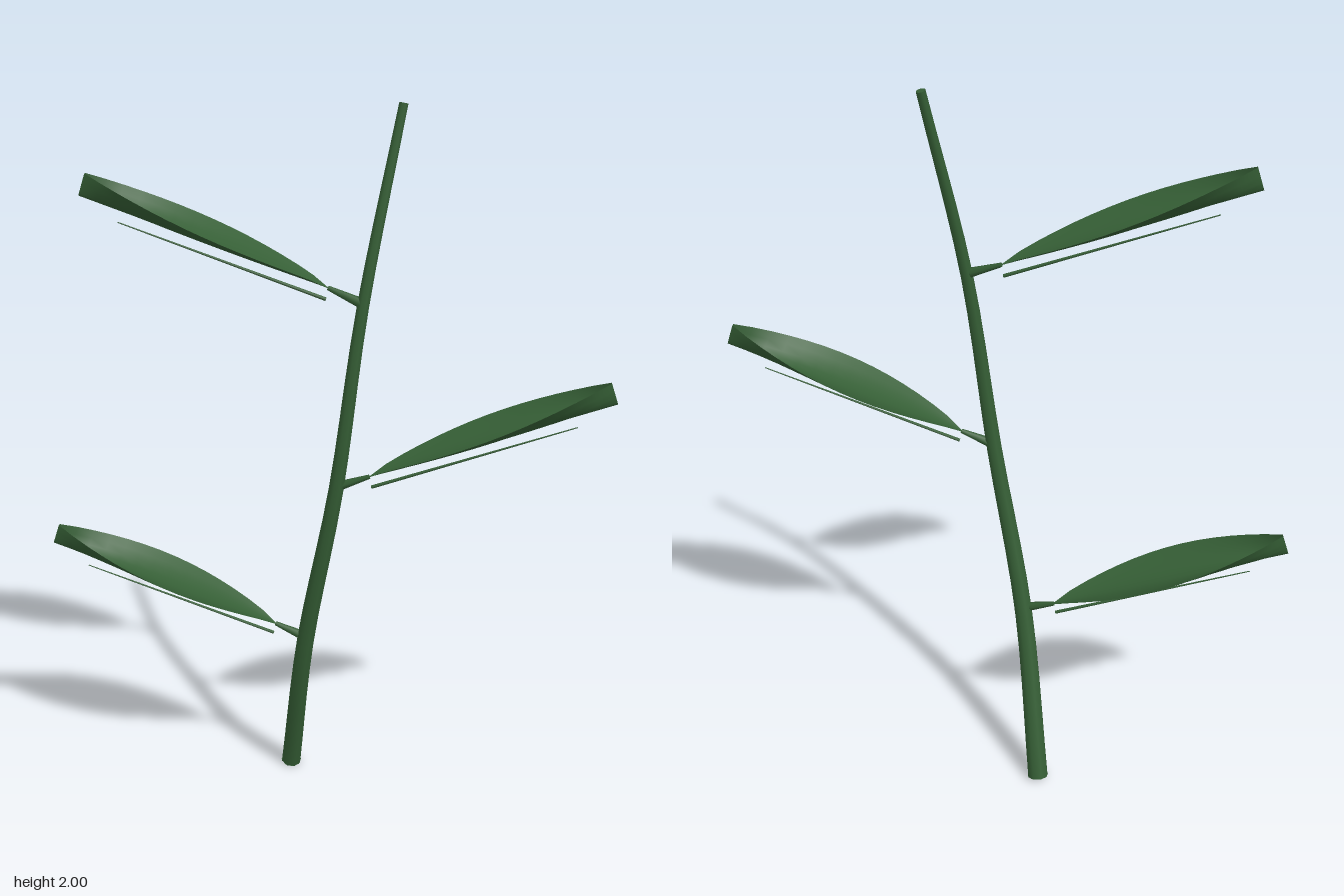
import * as THREE from 'three';
import { mergeGeometries } from 'three/addons/utils/BufferGeometryUtils.js';

const V = (x, y, z) => new THREE.Vector3(x, y, z);

// Tube along a curve whose radius shrinks from r0 to r1, with closed ends
function taperedTube(curve, r0, r1, segments, sides) {
  const tube = new THREE.TubeGeometry(curve, segments, 1, sides);
  const pos = tube.attributes.position;
  const p = V(0, 0, 0);
  for (let i = 0; i < pos.count; i++) {
    const t = Math.floor(i / (sides + 1)) / segments;
    const centre = curve.getPointAt(t);
    p.fromBufferAttribute(pos, i).sub(centre).multiplyScalar(r0 + (r1 - r0) * t).add(centre);
    pos.setXYZ(i, p.x, p.y, p.z);
  }
  const caps = [[0, -1, r0], [1, 1, r1]].map(([t, sign, r]) => {
    const dir = curve.getTangentAt(t).multiplyScalar(sign);
    const cap = new THREE.CircleGeometry(r, sides);
    cap.applyQuaternion(new THREE.Quaternion().setFromUnitVectors(V(0, 0, 1), dir));
    const c = curve.getPointAt(t);
    return cap.translate(c.x, c.y, c.z);
  });
  return mergeGeometries([tube, ...caps]);
}

// Blade along +z: pointed outline, with edges folding up more towards the tip
function bladeGeometry(length) {
  const g = new THREE.PlaneGeometry(2, 1, 8, 14).rotateX(-Math.PI / 2);
  const pos = g.attributes.position;
  for (let i = 0; i < pos.count; i++) {
    const u = pos.getX(i);
    const t = THREE.MathUtils.clamp(pos.getZ(i) + 0.5, 0, 1);
    const half = 0.004 + 0.098 * Math.pow(Math.max(0, Math.sin(Math.PI * t)), 0.88);
    const fold = 0.06 * Math.pow(t, 0.65) * Math.pow(Math.abs(u), 1.6);
    pos.setXYZ(i, u * half, fold, t * length);
  }
  g.computeVertexNormals();
  return g;
}

export function createModel() {
  const root = new THREE.Group();
  root.name = 'leafySprig';
  const green = new THREE.MeshStandardMaterial({ color: 0x355e35, side: THREE.DoubleSide });
  green.name = 'leafGreen';

  const add = (parent, name, geometry) => {
    const mesh = new THREE.Mesh(geometry, green);
    mesh.name = name;
    parent.add(mesh);
  };

  // Bowed, tapering stem
  const stemCurve = new THREE.CatmullRomCurve3([
    V(-0.156, 0.008, -0.12), V(-0.055, 0.5, -0.015), V(0.055, 1, 0.02),
    V(0.113, 1.5, -0.012), V(0.17, 1.998, -0.12),
  ]);
  add(root, 'stem', taperedTube(stemCurve, 0.03, 0.012, 20, 8));

  // Leaves: joint on the stem, base of the blade, tip of the blade
  const leaves = [
    ['lowerLeaf', V(-0.055, 0.515, -0.01), V(-0.14, 0.545, 0.005), V(-0.738, 0.77, 0.214)],
    ['middleLeaf', V(0.06, 1.01, 0.018), V(0.14, 1.042, -0.008), V(0.738, 1.267, -0.218)],
    ['upperLeaf', V(0.113, 1.51, -0.012), V(0.022, 1.545, 0.002), V(-0.576, 1.768, 0.214)],
  ];
  for (const [name, joint, base, tip] of leaves) {
    add(root, name + 'Stalk', taperedTube(new THREE.LineCurve3(joint, base), 0.014, 0.006, 2, 6));

    const leaf = new THREE.Group();
    leaf.name = name;
    leaf.position.copy(base);
    leaf.lookAt(tip);
    const length = base.distanceTo(tip);
    add(leaf, 'blade', bladeGeometry(length));
    // Thin rib running just beneath the blade
    const rib = new THREE.LineCurve3(V(0, -0.03, -0.005), V(0, -0.03, length * 0.83));
    add(leaf, 'midrib', taperedTube(rib, 0.005, 0.0015, 4, 6));
    root.add(leaf);
  }
  return root;
}
